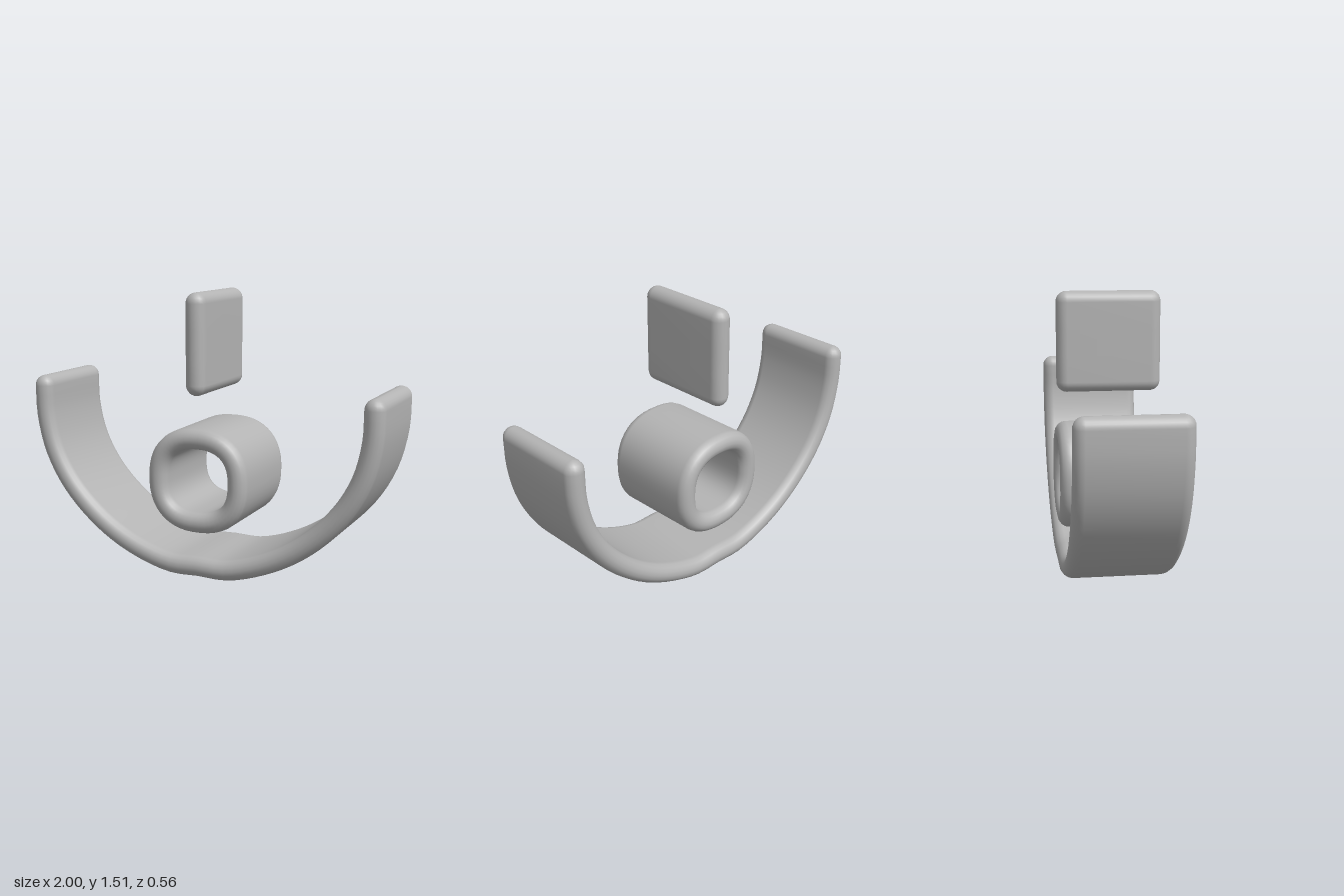
import * as THREE from 'three';

const R = 0.056; // half thickness of every band

// Sweeps a stadium section (thin in the path plane, long in z) along a path.
// Open paths get rounded ends.
function bandGeometry(path, closed, depth, r = R, arc = 8) {
  const rows = [];
  const last = path.length - 1;
  path.forEach((p, i) => {
    const prev = closed ? path[(i + last) % path.length] : path[Math.max(i - 1, 0)];
    const next = closed ? path[(i + 1) % path.length] : path[Math.min(i + 1, last)];
    rows.push({ p, t: next.clone().sub(prev).normalize(), phi: 0 });
  });
  if (!closed) {
    const first = rows[0], end = rows[last];
    for (let k = 1; k <= 6; k++) {
      const phi = (k / 6) * Math.PI / 2;
      rows.unshift({ ...first, phi: -phi });
      rows.push({ ...end, phi });
    }
  }

  const core = depth / 2 - r;
  const n = 2 * (arc + 1);
  const pos = [], index = [];
  for (const { p, t, phi } of rows) {
    const rho = r * Math.max(Math.cos(phi), 0.002);
    const along = r * Math.sin(phi);
    for (let j = 0; j < n; j++) {
      const side = j <= arc ? 1 : -1;
      const a = ((side > 0 ? j : j - 1) / arc) * Math.PI;
      const off = rho * Math.cos(a);
      pos.push(
        p.x + t.x * along - t.y * off,
        p.y + t.y * along + t.x * off,
        side * core + rho * Math.sin(a));
    }
  }
  const count = rows.length;
  for (let i = 0; i < (closed ? count : count - 1); i++) {
    const k = (i + 1) % count;
    for (let j = 0; j < n; j++) {
      const m = (j + 1) % n;
      const a = i * n + j, b = i * n + m, c = k * n + j, d = k * n + m;
      index.push(a, b, c, b, d, c);
    }
  }
  // Close the slim slits left at the rounded ends
  if (!closed) {
    const e = (count - 1) * n;
    for (let j = 1; j < n - 1; j++) index.push(0, j + 1, j, e, e + j, e + j + 1);
  }
  const geo = new THREE.BufferGeometry();
  geo.setAttribute('position', new THREE.Float32BufferAttribute(pos, 3));
  geo.setIndex(index);
  geo.computeVertexNormals();
  return geo;
}

export function createModel() {
  const group = new THREE.Group();
  const grey = new THREE.MeshStandardMaterial({ color: 0xb4b4b4 });
  grey.name = 'light grey';

  const add = (name, geo) => {
    const mesh = new THREE.Mesh(geo, grey);
    mesh.name = name;
    group.add(mesh);
  };

  // Wide curved cradle, mirrored about x = 0
  const half = [[0.17, 0.061], [0.41, 0.138], [0.61, 0.26], [0.785, 0.435],
    [0.89, 0.62], [0.938, 0.815], [0.944, 0.974]];
  const profile = [
    ...half.slice().reverse().map(([x, y]) => [-x, y]), [0, 0.061], ...half,
  ].map(([x, y]) => new THREE.Vector3(x, y, 0));
  const cradle = new THREE.CatmullRomCurve3(profile, false, 'centripetal');
  add('cradle', bandGeometry(cradle.getSpacedPoints(56), false, 0.565));

  // Slightly squared hollow ring
  const ring = [];
  const soft = (v) => Math.sign(v) * Math.pow(Math.abs(v), 2 / 2.4);
  for (let i = 0; i < 48; i++) {
    const a = ((i + 0.5) / 48) * Math.PI * 2;
    ring.push(new THREE.Vector3(
      -0.006 + 0.23 * soft(Math.cos(a)), 0.525 + 0.225 * soft(Math.sin(a)), 0));
  }
  add('ring', bandGeometry(ring, true, 0.56));

  // Upright plate above the ring
  const plate = [1.032, 1.17, 1.31, 1.453].map((y) => new THREE.Vector3(-0.015, y, 0));
  add('uprightPlate', bandGeometry(plate, false, 0.555));

  return group;
}
